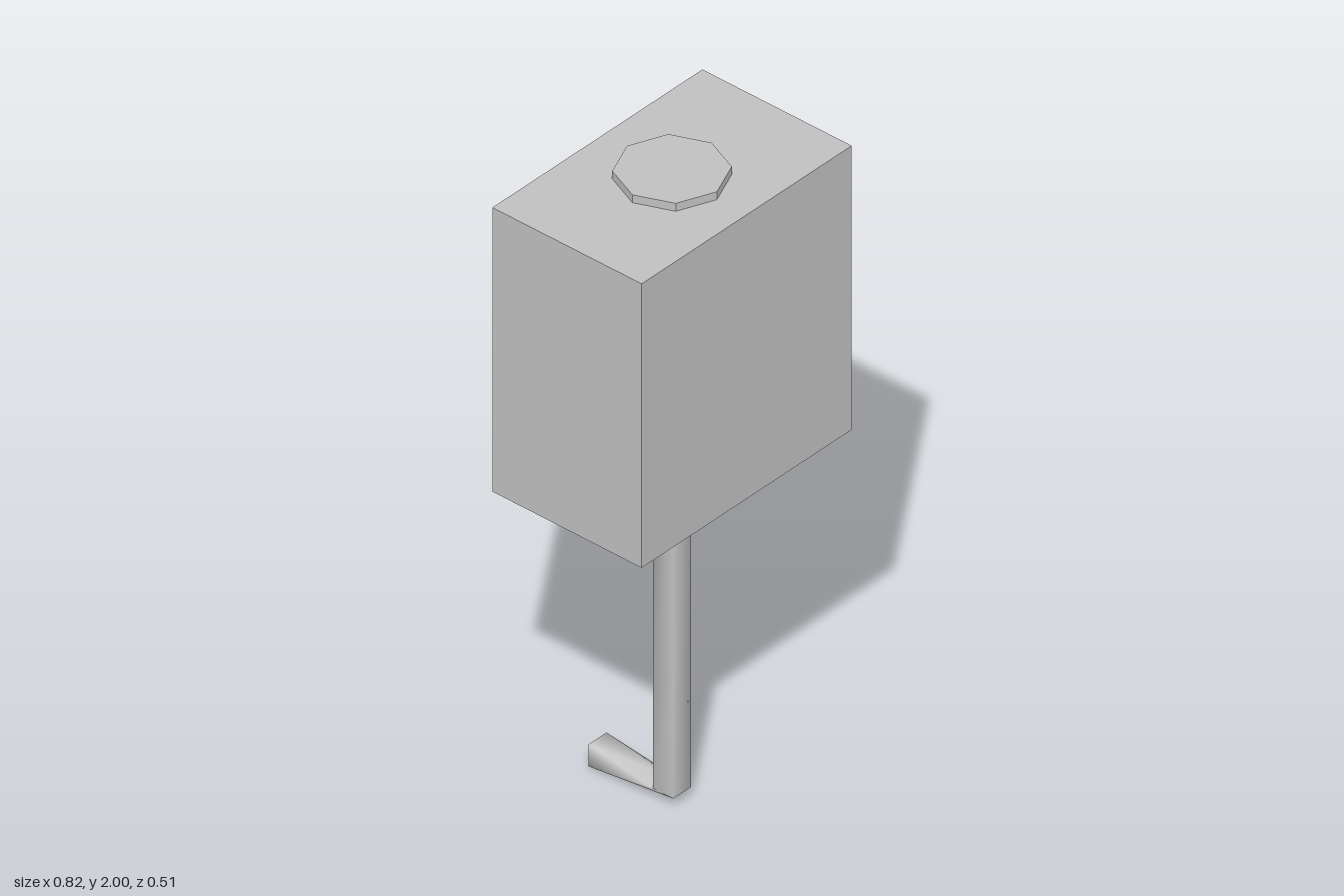
import * as THREE from 'three';

const grey = new THREE.MeshStandardMaterial({ color: 0xc0c0c0, side: THREE.DoubleSide });
grey.name = 'plain grey';

// Skin square cross-sections (four corners each) into an open, smooth tube
function loft(rings) {
  const index = [];
  for (let r = 0; r < rings.length - 1; r++) {
    for (let i = 0; i < 4; i++) {
      const a = r * 4 + i, b = r * 4 + (i + 1) % 4;
      index.push(a, a + 4, b, b, a + 4, b + 4);
    }
  }
  const geometry = new THREE.BufferGeometry();
  geometry.setAttribute('position', new THREE.Float32BufferAttribute(rings.flat(2), 3));
  geometry.setIndex(index);
  geometry.computeVertexNormals();
  return geometry;
}

export function createModel() {
  const model = new THREE.Group();
  const add = (name, geometry, y = 0) => {
    const mesh = new THREE.Mesh(geometry, grey);
    mesh.name = name;
    mesh.position.y = y;
    model.add(mesh);
  };

  // Housing: a box with an open underside
  const box = new THREE.BoxGeometry(0.822, 0.902, 0.515);
  const faces = Array.from(box.index.array);
  faces.splice(18, 6);
  box.setIndex(faces);
  box.clearGroups();
  add('housing', box, 1.524);

  // Low eight-sided cap on the housing
  const cap = new THREE.CylinderGeometry(0.155, 0.155, 0.025, 8, 1).toNonIndexed();
  cap.computeVertexNormals();
  add('topCap', cap, 1.9875);

  // Square rod that turns backwards into a foot with a quarter twist
  const h = 0.035;
  const level = (y) => [[h, y, h], [h, y, -h], [-h, y, -h], [-h, y, h]];
  const end = [[h, 2 * h, -0.257], [-h, 2 * h, -0.257], [-h, 0, -0.257], [h, 0, -0.257]];
  add('rod', loft([level(1.073), level(0.37), level(h)]));
  add('twistedFoot', loft([level(h), end]));

  return model;
}
